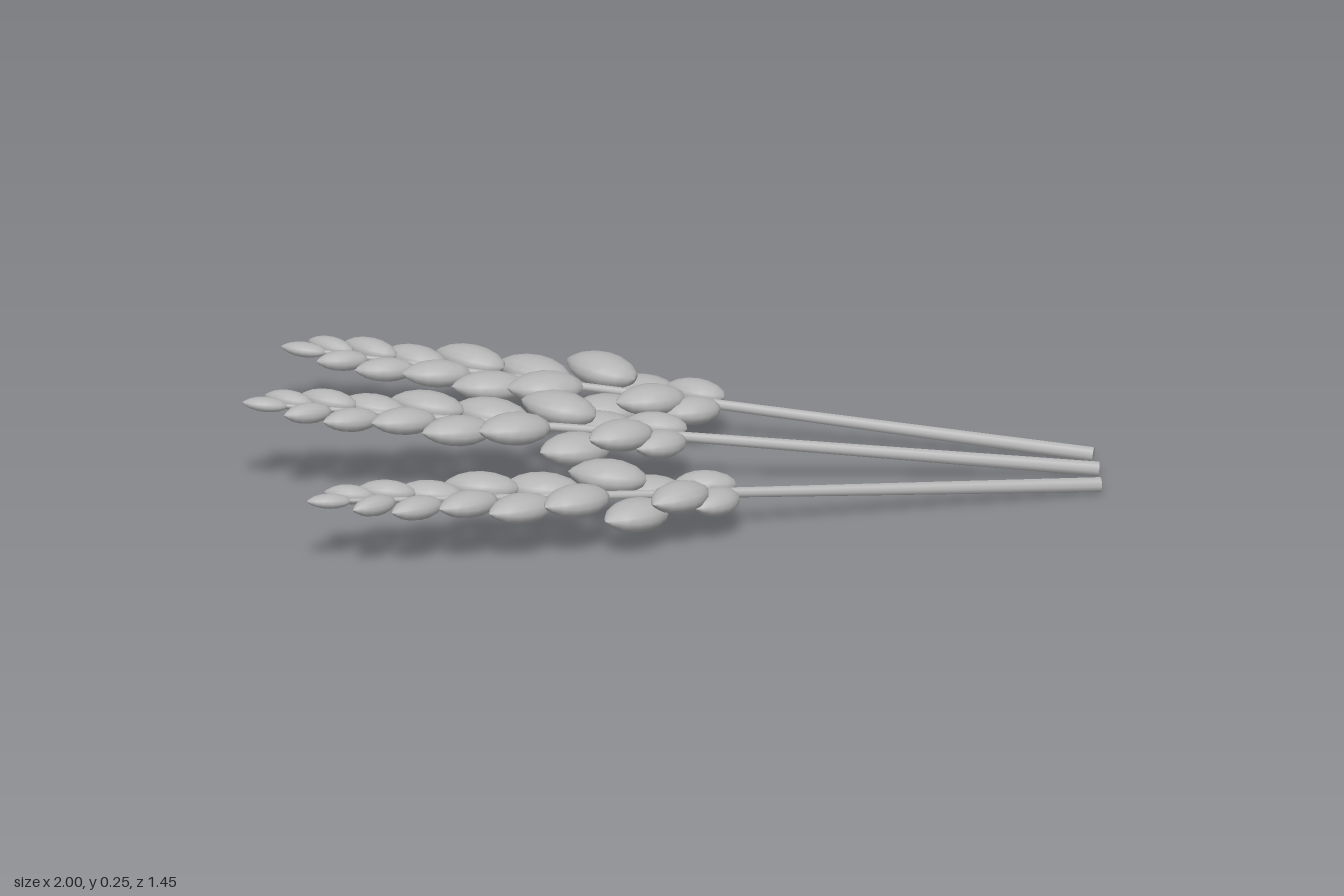
import * as THREE from 'three';

const grey = new THREE.MeshStandardMaterial({ color: 0xb4b4b4 });
grey.name = 'plain grey';

// unit kernel along +x: round at the base, pointed at the far end
function kernelGeometry() {
  const profile = [[0, -0.5], [0.2, -0.46], [0.37, -0.34], [0.48, -0.16], [0.5, 0],
    [0.45, 0.17], [0.33, 0.32], [0.15, 0.44], [0, 0.5]];
  const g = new THREE.LatheGeometry(profile.map(([r, y]) => new THREE.Vector2(r, y)), 14);
  g.rotateZ(-Math.PI / 2);
  return g;
}

// one row of kernels: distance along the ear, offset from the axis, height,
// length, width, outward angle in degrees
const upperRow = [
  [0.06, 0.035, 0.012, 0.15, 0.085, 10],
  [0.18, 0.075, -0.022, 0.19, 0.12, 25],
  [0.295, 0.07, 0.022, 0.19, 0.125, 22],
  [0.455, 0.065, -0.004, 0.19, 0.115, 18],
  [0.61, 0.058, 0.008, 0.18, 0.1, 16],
  [0.74, 0.05, -0.004, 0.16, 0.085, 16],
  [0.85, 0.043, 0.006, 0.14, 0.07, 18],
  [0.945, 0.037, 0.002, 0.12, 0.055, 18],
];
const lowerRow = [
  [0.055, 0.045, -0.006, 0.15, 0.095, 38],
  [0.155, 0.07, 0.018, 0.18, 0.11, 32],
  [0.26, 0.072, -0.025, 0.19, 0.12, 26],
  [0.41, 0.065, 0.012, 0.19, 0.115, 24],
  [0.545, 0.06, -0.006, 0.185, 0.105, 22],
  [0.675, 0.055, 0.006, 0.17, 0.09, 22],
  [0.80, 0.048, -0.004, 0.15, 0.075, 24],
  [0.905, 0.042, 0.002, 0.13, 0.06, 26],
];

function addRow(ear, row, side, geometry) {
  row.forEach(([along, off, height, length, width, angle], i) => {
    const kernel = new THREE.Mesh(geometry, grey);
    kernel.name = (side > 0 ? 'leftKernel' : 'rightKernel') + (i + 1);
    kernel.position.set(along, height, side * off);
    kernel.rotation.y = -side * THREE.MathUtils.degToRad(angle);
    kernel.scale.set(length, 0.022 + width * 0.46, width);
    ear.add(kernel);
  });
}

// a stalk from its cut end to its tip, local x running along it
function makeStalk(name, cutEnd, tip, geometry) {
  const earLength = 1.06;
  const stalk = new THREE.Group();
  stalk.name = name;
  const start = new THREE.Vector3(...cutEnd);
  const axis = new THREE.Vector3(...tip).sub(start);
  const stemLength = axis.length() - earLength;
  axis.normalize();
  const side = new THREE.Vector3().crossVectors(axis, new THREE.Vector3(0, 1, 0)).normalize();
  const up = new THREE.Vector3().crossVectors(side, axis);
  stalk.quaternion.setFromRotationMatrix(new THREE.Matrix4().makeBasis(axis, up, side));
  stalk.position.copy(start);

  const addRod = (rodName, from, length, r0, r1) => {
    const g = new THREE.CylinderGeometry(r1, r0, length, 8);
    g.rotateZ(-Math.PI / 2);
    const rod = new THREE.Mesh(g, grey);
    rod.name = rodName;
    rod.position.x = from + length / 2;
    stalk.add(rod);
  };
  addRod('stem', 0, stemLength, 0.019, 0.013);
  addRod('earCore', stemLength, earLength - 0.06, 0.013, 0.005);

  const ear = new THREE.Group();
  ear.name = 'ear';
  ear.position.x = stemLength;
  addRow(ear, upperRow, 1, geometry);
  addRow(ear, lowerRow, -1, geometry);
  const tipKernel = new THREE.Mesh(geometry, grey);
  tipKernel.name = 'tipKernel';
  tipKernel.position.x = earLength - 0.055;
  tipKernel.scale.set(0.11, 0.035, 0.05);
  ear.add(tipKernel);
  stalk.add(ear);
  return stalk;
}

export function createModel() {
  const model = new THREE.Group();
  model.name = 'grainStalks';
  const geometry = kernelGeometry();
  model.add(
    makeStalk('backStalk', [0.89, 0.019, -0.71], [-1, 0.18, -0.165], geometry),
    makeStalk('middleStalk', [0.94, 0.019, -0.63], [-0.87, 0.24, 0.34], geometry),
    makeStalk('frontStalk', [0.985, 0.019, -0.54], [-0.525, 0.18, 0.72], geometry),
  );
  return model;
}
